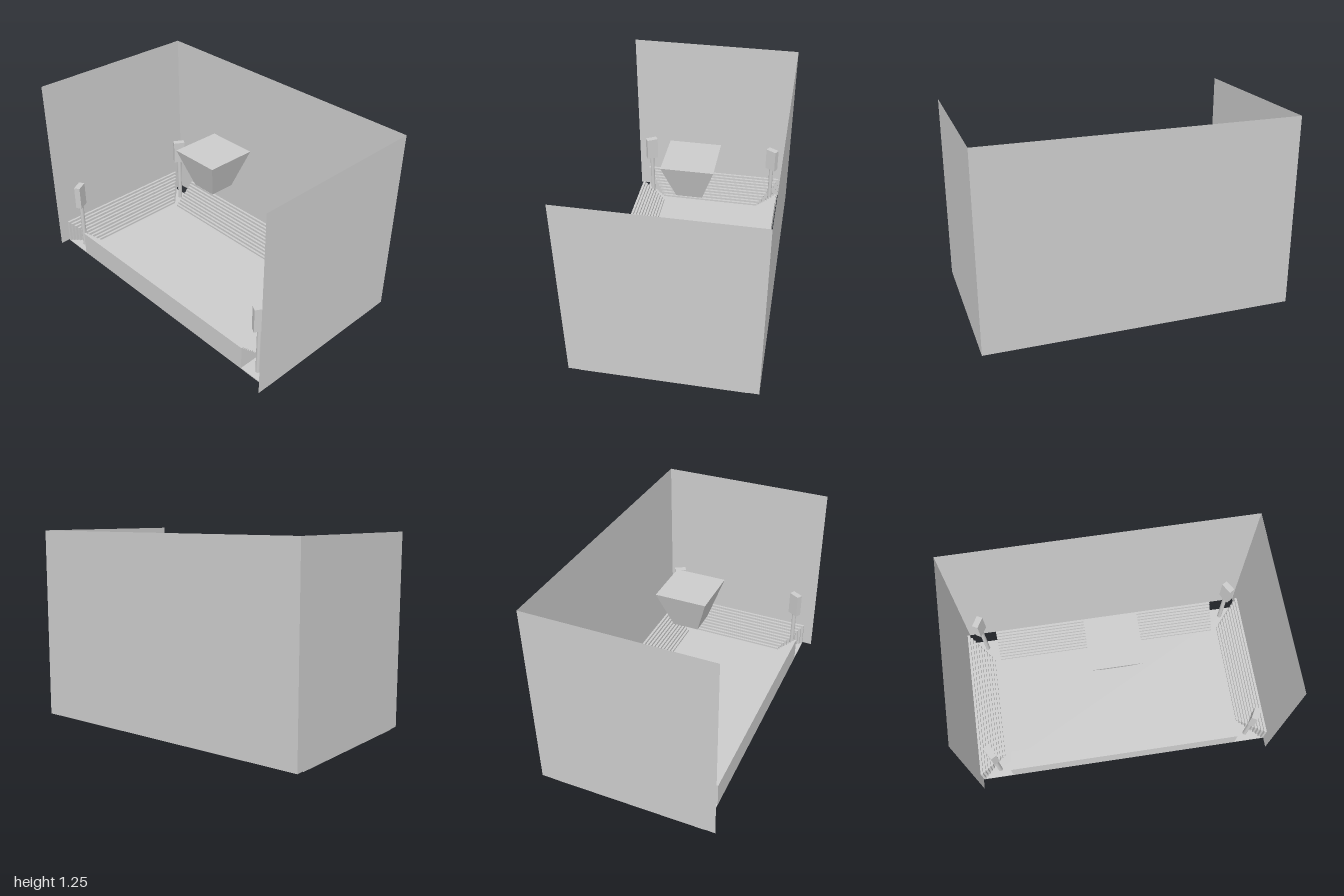
import * as THREE from 'three';

const HALF_X = 1, WALL_Z = 0.584, FLOOR_X = 0.997, FLOOR_Z = 0.516;
const BASE = 0.006, TOP = 1.255;
const STEPS = 10, STEP = 0.0163;

export function createModel() {
  const model = new THREE.Group();
  model.name = 'arena';
  const grey = new THREE.MeshStandardMaterial({ color: 0xcccccc, flatShading: true });
  const smooth = new THREE.MeshStandardMaterial({ color: 0xcccccc });
  const sheet = new THREE.MeshStandardMaterial({ color: 0xcccccc, side: THREE.DoubleSide });

  const add = (parent, name, geometry, material, x, y, z) => {
    const mesh = new THREE.Mesh(geometry, material);
    mesh.name = name;
    mesh.position.set(x, y, z);
    parent.add(mesh);
    return mesh;
  };

  // Floor slab
  add(model, 'floor', new THREE.BoxGeometry(2 * FLOOR_X, BASE, 2 * FLOOR_Z), grey, 0, BASE / 2, 0);

  // Thin walls at the back and both sides; the front is open
  const wallH = TOP - BASE, wallY = (TOP + BASE) / 2;
  add(model, 'backWall', new THREE.PlaneGeometry(2 * HALF_X, wallH), sheet, 0, wallY, -WALL_Z);
  for (const s of [-1, 1]) {
    const wall = add(model, s > 0 ? 'leftWall' : 'rightWall',
      new THREE.PlaneGeometry(2 * WALL_Z, wallH), sheet, s * HALF_X, wallY, 0);
    wall.rotation.y = -s * Math.PI / 2;
  }

  // Stepped seating: tallest row outside (local +z), falling toward the middle.
  // With taper, each lower row is shorter, giving mitred ends.
  const stand = (name, length, outer, taper, angle) => {
    const group = new THREE.Group();
    group.name = name;
    for (let i = 0; i < STEPS; i++) {
      const h = (STEPS - i) * STEP;
      const len = length - (taper ? 2 * i * STEP : 0);
      add(group, 'seatRow', new THREE.BoxGeometry(len, h, STEP), grey,
        0, BASE / 2 + h / 2, outer - (i + 0.5) * STEP);
    }
    group.rotation.y = angle;
    model.add(group);
  };
  stand('frontStand', 1.58, FLOOR_Z, false, 0);
  stand('backStand', 1.58, FLOOR_Z, false, Math.PI);
  stand('leftStand', 2 * FLOOR_Z, FLOOR_X, true, Math.PI / 2);
  stand('rightStand', 2 * FLOOR_Z, FLOOR_X, true, -Math.PI / 2);

  // Corner posts with boxes turned toward the middle
  for (const sx of [-1, 1]) {
    for (const sz of [-1, 1]) {
      const post = new THREE.Group();
      post.name = 'cornerSpeaker';
      add(post, 'pole', new THREE.CylinderGeometry(0.015, 0.015, 0.34, 12), smooth, 0, 0.172, 0);
      add(post, 'speakerBox', new THREE.BoxGeometry(0.041, 0.165, 0.081), grey, 0, 0.4225, 0);
      post.position.set(sx * 0.876, 0, sz * 0.461);
      post.rotation.y = -sx * sz * Math.PI / 6;
      model.add(post);
    }
  }

  // Hanging scoreboard, a square block narrowing downward
  add(model, 'scoreboard',
    new THREE.CylinderGeometry(0.165 * Math.SQRT2, 0.083 * Math.SQRT2, 0.25, 4, 1, false, Math.PI / 4),
    grey, 0, 0.84, 0);

  return model;
}
